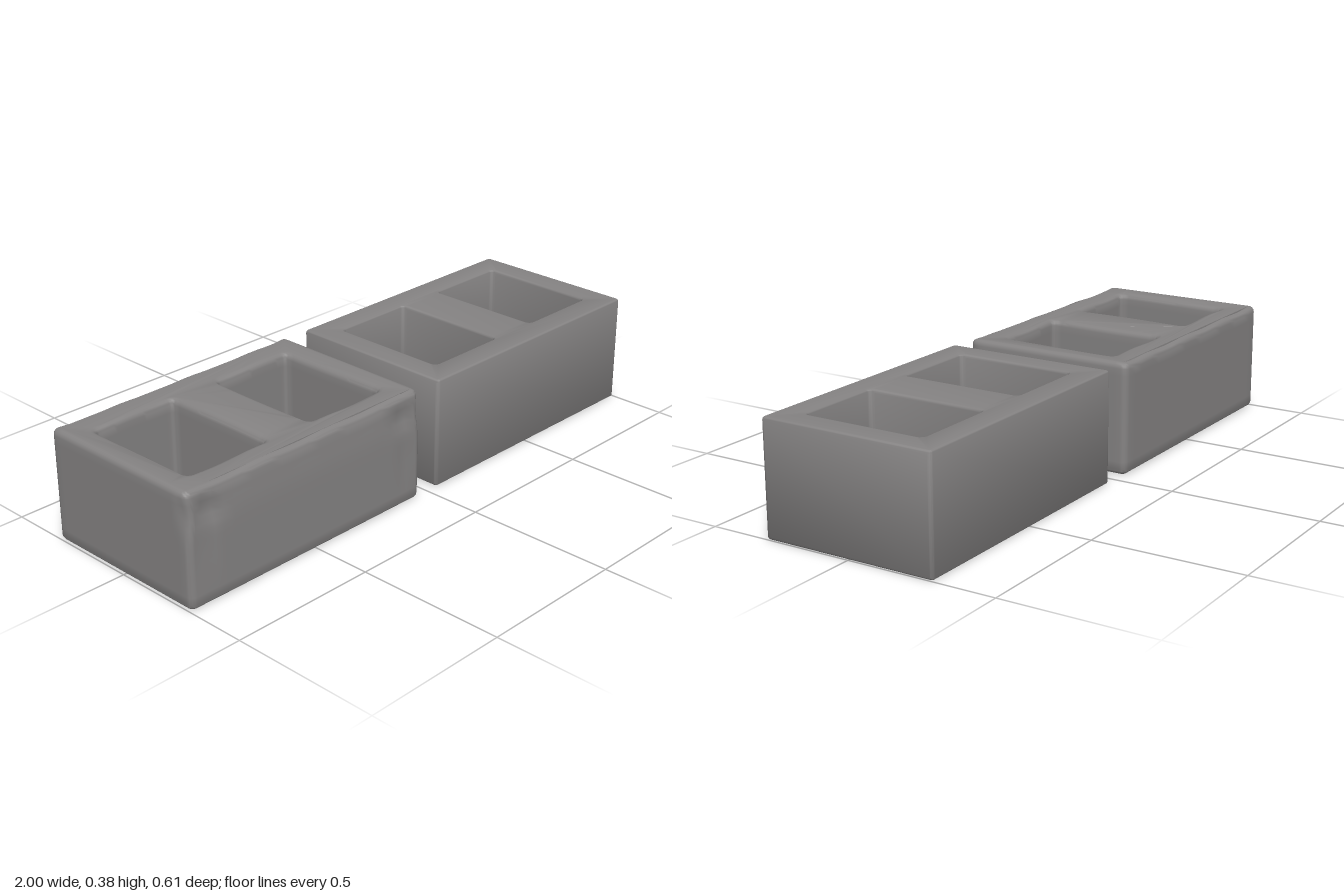
import * as THREE from 'three';
import { toCreasedNormals } from 'three/addons/utils/BufferGeometryUtils.js';

// Rounded rectangle outline with extra points along each side, so it can be dented later
function outline(cx, w, d, r, n) {
  const pts = [];
  const corners = [[1, 1], [-1, 1], [-1, -1], [1, -1]].map(([sx, sy]) => [cx + sx * (w / 2 - r), sy * (d / 2 - r)]);
  corners.forEach(([x, y], i) => {
    for (let k = 0; k <= 4; k++) {
      const a = (i + k / 4) * Math.PI / 2;
      pts.push(new THREE.Vector2(x + r * Math.cos(a), y + r * Math.sin(a)));
    }
    const next = corners[(i + 1) % 4];
    const a = (i + 1) * Math.PI / 2;
    for (let k = 1; k < n; k++) {
      pts.push(new THREE.Vector2(
        x + (next[0] - x) * k / n + r * Math.cos(a),
        y + (next[1] - y) * k / n + r * Math.sin(a)));
    }
  });
  return pts;
}

// Hollow block: extruded outline with two square cells and softened edges
function blockGeometry({ width, depth, height, bevel, radius, n, steps }) {
  const shape = new THREE.Shape(outline(0, width, depth, radius, n));
  for (const x of [-0.24, 0.24]) shape.holes.push(new THREE.Path(outline(x, 0.3, 0.412, 0.015, n).reverse()));
  const g = new THREE.ExtrudeGeometry(shape, {
    depth: height - 2 * bevel, steps, bevelEnabled: true,
    bevelSize: bevel, bevelThickness: bevel, bevelOffset: -bevel, bevelSegments: 4,
  });
  g.rotateX(-Math.PI / 2);
  g.translate(0, bevel, 0);
  return g;
}

// Wear: chipped dents in the upper front corners, a slightly sagging rim and wavy edges
function wear(g, width, depth, height) {
  const p = g.attributes.position;
  const bump = (d, s) => Math.exp(-(d * d) / (s * s));
  for (let i = 0; i < p.count; i++) {
    let x = p.getX(i), y = p.getY(i), z = p.getZ(i);
    const ax = Math.abs(x), side = Math.sign(x);
    const top = THREE.MathUtils.smoothstep(y, 0.2, height);
    const front = z > depth / 2 - 0.03 ? 1 : 0;
    const fromEnd = width / 2 - ax;
    if (front) {
      z -= 0.016 * bump(fromEnd - 0.08, 0.035) * bump(y - 0.3, 0.035);
      z -= 0.010 * bump(fromEnd - 0.05, 0.02) * bump(y - 0.2, 0.12);
      z -= 0.008 * top * top;
    }
    if (front && fromEnd < 0.04) x -= side * 0.008 * bump(y - 0.3, 0.05);
    // Rim sags between the raised corners
    y -= 0.006 * top * (1 - bump(fromEnd, 0.05)) * (0.7 + 0.3 * Math.sin(x * 23 + z * 9));
    p.setXYZ(i, x, y, z);
  }
  return g;
}

export function createModel() {
  const model = new THREE.Group();
  model.name = 'concreteBlocks';
  const concrete = new THREE.MeshStandardMaterial({ color: 0x848282 });
  concrete.name = 'concrete grey';

  const addBlock = (name, geometry, x, z) => {
    const mesh = new THREE.Mesh(toCreasedNormals(geometry, 0.7), concrete);
    mesh.name = name;
    mesh.position.set(x, 0, z);
    model.add(mesh);
  };

  // Crisp block on the +x side
  addBlock('cleanBlock', blockGeometry({
    width: 0.96, depth: 0.595, height: 0.375, bevel: 0.01, radius: 0.012, n: 1, steps: 1,
  }), 0.52, 0.003);

  // Battered block on the -x side
  const worn = { width: 0.955, depth: 0.61, height: 0.376, bevel: 0.02, radius: 0.022, n: 24, steps: 14 };
  addBlock('wornBlock', wear(blockGeometry(worn), worn.width, worn.depth, worn.height), -0.5225, 0);

  return model;
}
